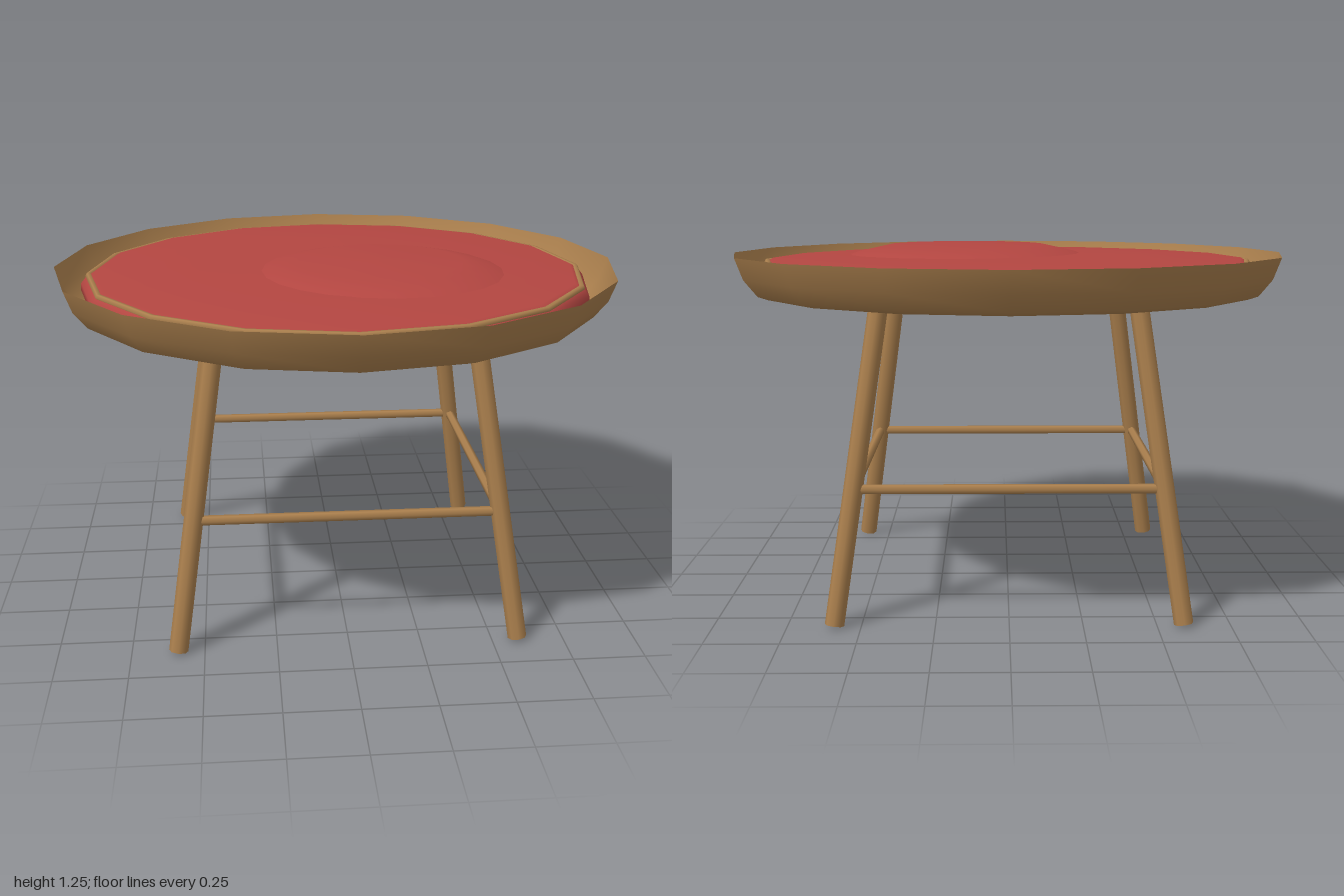
import * as THREE from 'three';

const wood = new THREE.MeshStandardMaterial({ color: 0xaa7f4d });
wood.name = 'wood';
wood.side = THREE.DoubleSide;
const fabric = new THREE.MeshStandardMaterial({ color: 0xb34641 });
fabric.name = 'red fabric';

const SIDES = 16;

function lathe(name, profile, material, sides = SIDES) {
  const points = profile.map(([r, y]) => new THREE.Vector2(r, y));
  const mesh = new THREE.Mesh(new THREE.LatheGeometry(points, sides), material);
  mesh.name = name;
  return mesh;
}

// Round bar between two points
function bar(name, from, to, radius, sides) {
  const dir = to.clone().sub(from);
  const mesh = new THREE.Mesh(new THREE.CylinderGeometry(radius, radius, dir.length(), sides), wood);
  mesh.position.copy(from).add(to).multiplyScalar(0.5);
  mesh.quaternion.setFromUnitVectors(new THREE.Vector3(0, 1, 0), dir.normalize());
  mesh.name = name;
  return mesh;
}

export function createModel() {
  const stool = new THREE.Group();
  stool.name = 'stool';

  // Open dish that holds the cushion
  stool.add(lathe('seatDish',
    [[0, 1.08], [0.89, 1.08], [0.925, 1.092], [0.972, 1.15], [1, 1.225]], wood));

  // Cushion with a steep rounded edge
  stool.add(lathe('cushion',
    [[0.88, 1.1], [0.91, 1.14], [0.908, 1.165], [0.89, 1.188], [0.858, 1.206], [0.5, 1.217], [0, 1.223]], fabric));

  // Piping around the cushion edge
  const piping = new THREE.Mesh(new THREE.TorusGeometry(0.88, 0.012, 6, SIDES), wood);
  piping.rotation.x = Math.PI / 2;
  piping.position.y = 1.191;
  piping.name = 'piping';
  stool.add(piping);

  // Shallow off-centre swell in the cushion
  const swell = lathe('cushionSwell',
    [[0.46, 1.205], [0.4, 1.226], [0.29, 1.25], [0, 1.254]], fabric, 24);
  swell.position.set(0.15, 0, 0.1);
  stool.add(swell);

  // Four splayed legs, joined by a square of stretchers
  const corners = [[1, 1], [1, -1], [-1, -1], [-1, 1]];
  const top = 0.435, foot = 0.59, joint = 0.524;
  corners.forEach(([sx, sz], i) => {
    stool.add(bar('leg',
      new THREE.Vector3(sx * foot, 0.006, sz * foot),
      new THREE.Vector3(sx * top, 1.083, sz * top), 0.033, 8));
    const [nx, nz] = corners[(i + 1) % 4];
    stool.add(bar('stretcher',
      new THREE.Vector3(sx * joint, 0.46, sz * joint),
      new THREE.Vector3(nx * joint, 0.46, nz * joint), 0.017, 6));
  });

  return stool;
}
